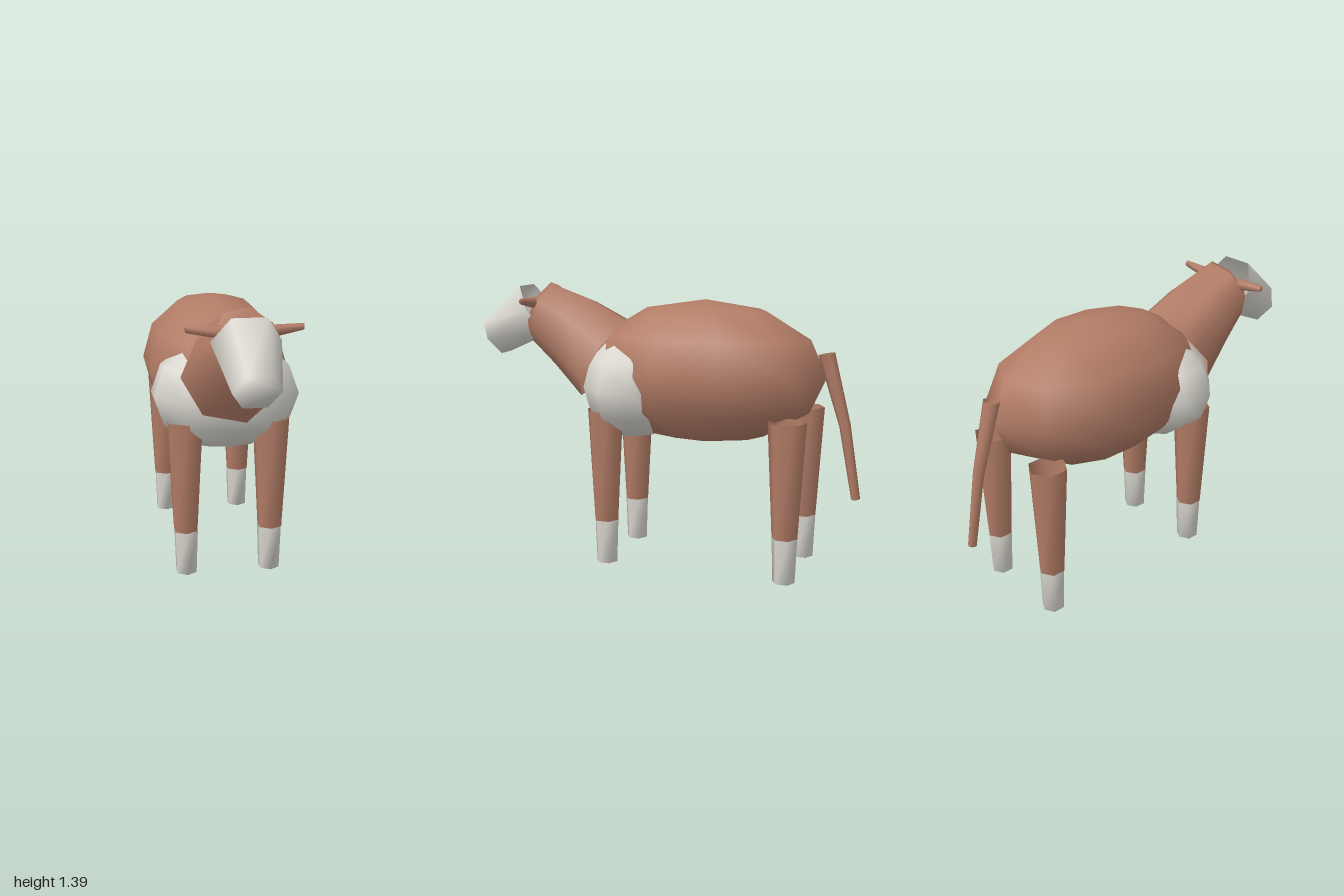
import * as THREE from 'three';

const coat = new THREE.MeshStandardMaterial({ color: 0xb27c66, side: THREE.DoubleSide });
coat.name = 'russet coat';
const white = new THREE.MeshStandardMaterial({ color: 0xdad7cf, side: THREE.DoubleSide });
white.name = 'chalk white';

// Smooth faceted tube through rings [x, y, z, radius, tilt in degrees];
// tilt 0 runs along +z, 90 runs up, -90 runs down. The last ring can be closed.
function tube(rings, sides, phase, capEnd) {
  const pos = [], idx = [];
  for (const [x, y, z, r, tilt] of rings) {
    const t = THREE.MathUtils.degToRad(tilt);
    for (let i = 0; i < sides; i++) {
      const a = phase + (i / sides) * Math.PI * 2;
      const v = r * Math.sin(a);
      pos.push(x + r * Math.cos(a), y + v * Math.cos(t), z - v * Math.sin(t));
    }
  }
  for (let k = 0; k < rings.length - 1; k++) {
    for (let i = 0; i < sides; i++) {
      const j = (i + 1) % sides;
      const a = k * sides + i, b = k * sides + j;
      idx.push(a, b, b + sides, a, b + sides, a + sides);
    }
  }
  if (capEnd) {
    const s = (rings.length - 1) * sides;
    for (let i = 1; i < sides - 1; i++) idx.push(s, s + i, s + i + 1);
  }
  const geo = new THREE.BufferGeometry();
  geo.setAttribute('position', new THREE.Float32BufferAttribute(pos, 3));
  geo.setIndex(idx);
  geo.computeVertexNormals();
  return geo;
}

// Coarse smooth ellipsoid with a corner pointing fore and aft
function ellipsoid(rx, ry, rz) {
  return new THREE.SphereGeometry(1, 10, 6).rotateY(Math.PI / 2).scale(rx, ry, rz);
}

export function createModel() {
  const model = new THREE.Group();
  model.name = 'calf';
  const add = (name, geo, mat, x = 0, y = 0, z = 0) => {
    const mesh = new THREE.Mesh(geo, mat);
    mesh.name = name;
    mesh.position.set(x, y, z);
    model.add(mesh);
    return mesh;
  };

  // Torso
  add('body', ellipsoid(0.367, 0.357, 0.61), coat, 0, 0.97, -0.21);
  add('chest', ellipsoid(0.373, 0.278, 0.265), white, 0, 0.893, 0.14);

  // Neck rising forward into the back of the head
  add('neck', tube([
    [0, 1.015, 0.315, 0.24, 33],
    [0, 1.147, 0.5, 0.2, 29],
    [0, 1.237, 0.662, 0.163, 22],
    [0, 1.275, 0.676, 0.137, 28.6],
  ], 7, Math.PI, true), coat);

  // Tapered muzzle pointing down and forward
  add('muzzle', tube([
    [0, 1.258, 0.694, 0.157, -33],
    [0, 1.093, 0.95, 0.107, -33],
  ], 6, 0, true), white);

  // Ears
  for (const side of [1, -1]) {
    const ear = add(side > 0 ? 'leftEar' : 'rightEar', tube([
      [0, 0, 0, 0.031, 0],
      [0, 0.018, 0.16, 0.015, 0],
    ], 7, 0, true), coat, side * 0.1, 1.292, 0.665);
    ear.rotation.y = side * Math.PI / 2;
  }

  // Open-topped legs with white feet
  for (const [end, z] of [['front', 0.24], ['rear', -0.68]]) {
    for (const side of [1, -1]) {
      const name = end + (side > 0 ? 'Left' : 'Right');
      add(name + 'Leg', tube([
        [0, 0.785, 0, 0.094, -90],
        [0, 0.222, 0, 0.063, -90],
      ], 6, Math.PI / 2, false), coat, side * 0.212, 0, z);
      add(name + 'Foot', tube([
        [0, 0.222, 0, 0.063, -90],
        [0, 0, 0, 0.055, -90],
      ], 6, Math.PI / 2, true), white, side * 0.21, 0, z);
    }
  }

  // Drooping tail
  add('tail', tube([
    [0, 1.085, -0.815, 0.041, -101],
    [0, 0.743, -0.914, 0.028, -106],
    [0, 0.385, -0.978, 0.022, -98],
  ], 6, Math.PI / 2, true), coat);

  return model;
}
